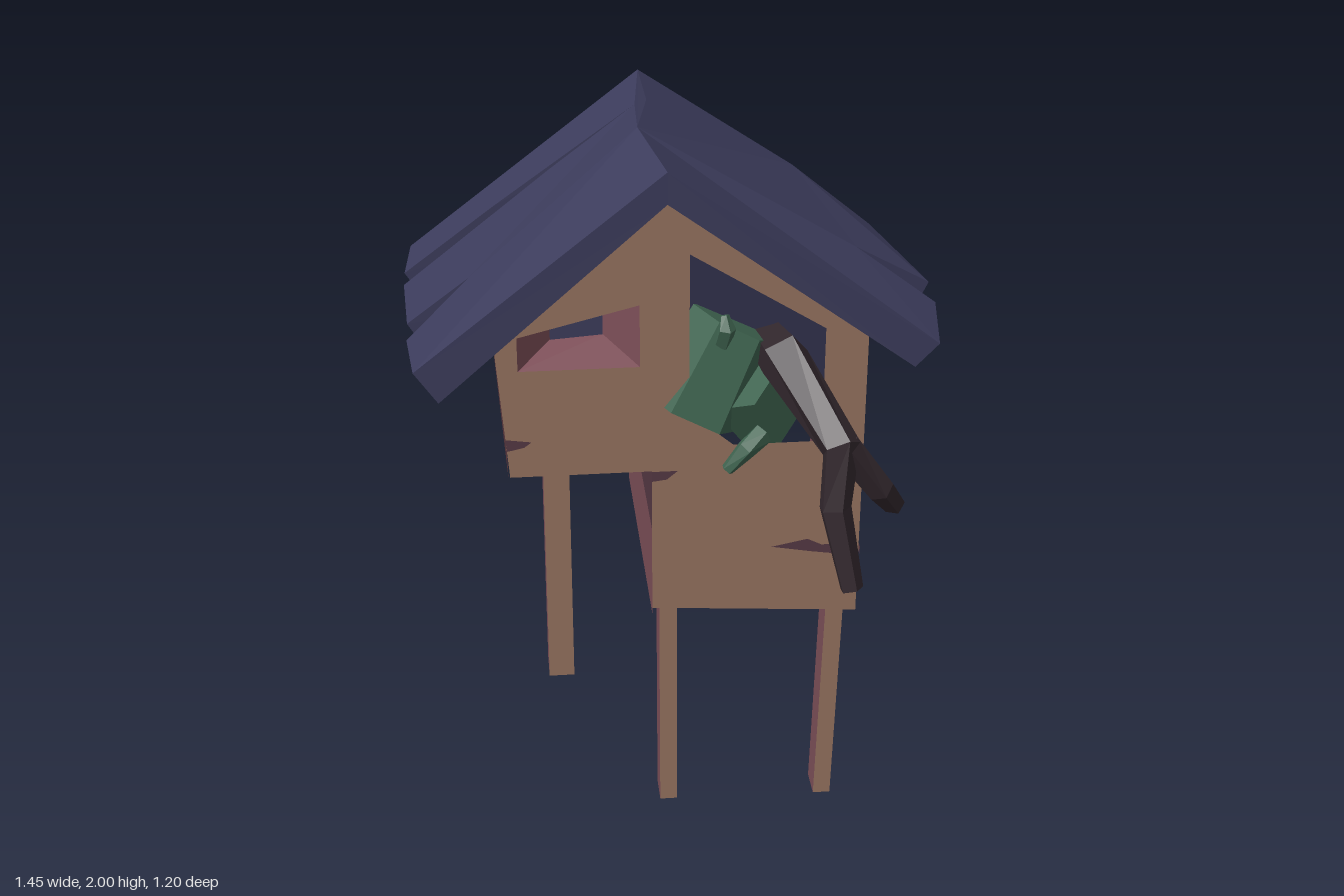
import * as THREE from 'three';

const mat = (name, color, side = THREE.DoubleSide) => {
  const m = new THREE.MeshStandardMaterial({ color, flatShading: true, side });
  m.name = name;
  return m;
};

export function createModel() {
  const model = new THREE.Group();
  const tan = mat('tan wood', 0x96735f);
  const maroon = mat('maroon wood', 0x7d4f58);
  const shade = mat('dark maroon wood', 0x553944);
  const navy = mat('navy roof', 0x3c3c5c, THREE.FrontSide);
  const green = mat('green skin', 0x3f6450);
  const bark = mat('dark bark', 0x33282e);

  const add = (name, geo, material) => {
    const mesh = new THREE.Mesh(geo, material);
    mesh.name = name;
    model.add(mesh);
    return mesh;
  };
  const v2 = pts => pts.map(p => new THREE.Vector2(p[0], p[1]));
  const flat = (...pts) => new THREE.ShapeGeometry(new THREE.Shape(v2(pts)));
  const fromTriangles = pos => {
    const geo = new THREE.BufferGeometry();
    geo.setAttribute('position', new THREE.Float32BufferAttribute(pos, 3));
    geo.computeVertexNormals();
    return geo;
  };
  const quad = (a, b, c, d) => [...a, ...b, ...c, ...a, ...c, ...d];

  // Front wall with window and doorway
  const windowOuter = [[-0.42, 1.44], [-0.1, 1.44], [-0.1, 1.615], [-0.42, 1.535]];
  const windowInner = [[-0.33, 1.48], [-0.19, 1.49], [-0.19, 1.56], [-0.33, 1.54]];
  const door = [[0.03, 1.75], [0.39, 1.53], [0.39, 1.2], [0.15, 1.2], [0.03, 1.3]];
  const wall = new THREE.Shape(v2([
    [-0.45, 1.13], [-0.07, 1.13], [-0.07, 0.7], [0.505, 0.66], [0.505, 1.52], [-0.04, 1.91], [-0.48, 1.51]
  ]));
  wall.holes.push(new THREE.Path(v2(windowOuter)), new THREE.Path(v2(door)));
  add('frontWall', new THREE.ShapeGeometry(wall).translate(0, 0, 0.28), tan);

  // Splayed window recess closed by a dark pane
  const recess = [];
  for (let i = 0; i < 4; i++) {
    const j = (i + 1) % 4;
    recess.push(...quad(
      [...windowOuter[i], 0.28], [...windowOuter[j], 0.28], [...windowInner[j], 0.17], [...windowInner[i], 0.17]
    ));
  }
  add('windowRecess', fromTriangles(recess), maroon);
  const pane = new THREE.ExtrudeGeometry(new THREE.Shape(v2(windowInner)), { depth: 0.008, bevelEnabled: false });
  add('windowPane', pane.translate(0, 0, 0.164), navy);

  // Dark backdrop inside the doorway, leaning towards the front at the top
  const backdrop = flat([-0.18, 1.14], [0.49, 1.14], [0.49, 1.5], [-0.04, 1.86], [-0.18, 1.76]);
  const bp = backdrop.attributes.position;
  for (let i = 0; i < bp.count; i++) bp.setZ(i, (bp.getY(i) - 1.14) * 0.3);
  backdrop.computeVertexNormals();
  add('doorBackdrop', backdrop, navy);

  // Side walls: sheets running back from the front wall
  const sideWall = (name, xTop, yTop, xBottom, yBottom, zBack, material) => {
    add(name, fromTriangles(quad(
      [xBottom, yBottom, 0.28], [xBottom, yBottom, zBack], [xTop, yTop, zBack], [xTop, yTop, 0.28]
    )), material);
  };
  sideWall('leftWall', 0.505, 1.28, 0.505, 0.66, -0.54, maroon);
  sideWall('leftWallTop', 0.505, 1.54, 0.505, 1.28, -0.54, shade);
  sideWall('lowerRightWall', -0.07, 0.95, -0.07, 0.68, -0.53, maroon);
  sideWall('lowerRightWallTop', -0.07, 1.13, -0.07, 0.95, -0.53, shade);
  sideWall('upperRightWall', -0.48, 1.5, -0.455, 1.13, -0.56, maroon);

  // Wood grain streaks
  const streak = (pts, onSide) => {
    const mesh = add('grainStreak', flat(...pts), shade);
    if (onSide) {
      mesh.rotation.y = Math.PI / 2;
      mesh.position.x = 0.509;
    } else mesh.position.z = 0.284;
  };
  streak([[0.26, 0.88], [0.37, 0.86], [0.5, 0.84], [0.5, 0.88], [0.4, 0.88], [0.36, 0.9]]);
  streak([[-0.455, 1.21], [-0.41, 1.22], [-0.39, 1.235], [-0.46, 1.245]]);
  streak([[-0.07, 1.1], [-0.03, 1.105], [0, 1.13], [-0.07, 1.13]]);
  streak([[0.07, 1.09], [0.11, 1.07], [0.19, 1.07], [0.2, 1.08], [0.13, 1.095]], true);
  streak([[-0.28, 0.84], [-0.06, 0.85], [-0.07, 0.87], [-0.2, 0.87], [-0.28, 0.865]], true);

  // Legs, tan in front and maroon on the other sides
  const legFaces = [maroon, maroon, maroon, maroon, tan, maroon];
  const leg = (name, x, z, w, d, y0, y1, lean) => {
    const geo = new THREE.BoxGeometry(w, y1 - y0, d).translate(x, (y0 + y1) / 2, z);
    const p = geo.attributes.position;
    for (let i = 0; i < p.count; i++) if (p.getY(i) > (y0 + y1) / 2) p.setX(i, p.getX(i) + lean);
    add(name, geo, legFaces);
  };
  leg('frontLeftLeg', 0.438, 0.195, 0.05, 0.09, 0, 0.7, 0.015);
  leg('frontMiddleLeg', -0.02, 0.195, 0.05, 0.09, 0.01, 0.71, -0.002);
  leg('rearRightLeg', -0.315, -0.123, 0.075, 0.105, 0.26, 1.14, 0);

  // Roof slabs: plan outlines extruded, then bent down from the ridge to the eave
  const ridgeX = z => -0.08 + 0.05 * Math.min(1, Math.abs(z) / 0.3);
  const ridgeY = z => 2 - 0.02 * Math.min(1, Math.abs(z) / 0.3);
  const ridge = [-0.59, -0.3, 0, 0.305].map(z => [ridgeX(z), z]);
  const roofSlab = (name, outline, eaveX, eaveY, eaveBottom, bulge) => {
    const geo = new THREE.ExtrudeGeometry(new THREE.Shape(v2(outline)), { depth: 1, bevelEnabled: false });
    const p = geo.attributes.position;
    for (let i = 0; i < p.count; i++) {
      const x = p.getX(i), z = p.getY(i), under = p.getZ(i);
      const t = (x - ridgeX(z)) / (eaveX - ridgeX(z));
      const rise = z < 0 ? bulge * Math.sin(Math.PI * t) : 0;
      const y = THREE.MathUtils.lerp(ridgeY(z), eaveY(z), t) + rise;
      const thickness = THREE.MathUtils.lerp(0.085, eaveY(z) - eaveBottom, t);
      p.setXYZ(i, x - under * t * Math.sign(eaveX) * 0.065, y - under * thickness, z);
    }
    geo.computeVertexNormals();
    add(name, geo, navy);
  };
  roofSlab('leftRoof', [
    ...ridge, [0.69, 0.305], [0.72, 0.1], [0.51, 0.03], [0.72, 0.01], [0.67, -0.6], [0.43, -0.595]
  ], 0.72, z => 1.54 - (z > 0 ? 0.25 : -0.17) * z, 1.4, 0.03);
  roofSlab('rightRoof', [
    ...ridge, [-0.69, 0.31], [-0.71, 0.09], [-0.54, 0.03], [-0.71, -0.01], [-0.725, -0.32],
    [-0.3, -0.345], [-0.06, -0.335], [-0.46, -0.395], [-0.725, -0.41], [-0.71, -0.595]
  ], -0.725, z => 1.45 - 0.05 * Math.max(0, z), 1.345, 0);

  // Five-sided limbs lofted along a path
  const limb = (name, points, radii, material) => {
    const path = points.map(p => new THREE.Vector3(...p));
    const n = 5;
    const rings = path.map((c, i) => {
      const dir = path[Math.min(i + 1, path.length - 1)].clone()
        .sub(path[Math.max(i - 1, 0)]).normalize();
      const u = new THREE.Vector3(1, 0, 0).addScaledVector(dir, -dir.x).normalize();
      const w = dir.clone().cross(u);
      return Array.from({ length: n }, (_, k) => {
        const a = (k / n) * Math.PI * 2;
        return c.clone().addScaledVector(u, Math.cos(a) * radii[i])
          .addScaledVector(w, Math.sin(a) * radii[i]).toArray();
      });
    });
    const pos = [];
    const last = rings.length - 1;
    for (let k = 0; k < n; k++) {
      const m = (k + 1) % n;
      for (let i = 0; i < last; i++) {
        pos.push(...quad(rings[i][k], rings[i][m], rings[i + 1][m], rings[i + 1][k]));
      }
      pos.push(...points[0], ...rings[0][m], ...rings[0][k]);
      pos.push(...points[last], ...rings[last][k], ...rings[last][m]);
    }
    add(name, fromTriangles(pos), material);
  };
  limb('branchArm', [
    [0.28, 1.22, -0.06], [0.27, 1.42, 0.1], [0.28, 1.45, 0.27], [0.4, 1.29, 0.5], [0.385, 1.13, 0.53], [0.43, 0.91, 0.575]
  ], [0.048, 0.06, 0.07, 0.054, 0.044, 0.032], bark);
  limb('branchTwig', [[0.41, 1.29, 0.49], [0.515, 1.15, 0.475], [0.575, 1.05, 0.38]], [0.042, 0.037, 0.03], bark);

  // Creature in the doorway
  const head = add('creatureHead', new THREE.CylinderGeometry(0.12, 0.145, 0.27, 6), green);
  head.position.set(0.1, 1.38, 0.165);
  head.rotation.set(0.1, 0.5, -0.55);
  const snout = add('creatureSnout', new THREE.CylinderGeometry(0.105, 0.085, 0.18, 5), green);
  snout.position.set(0.22, 1.275, 0.2);
  snout.rotation.set(0.15, 0.2, 0.5);
  limb('creatureHorn', [[0.12, 1.48, 0.24], [0.13, 1.53, 0.26], [0.125, 1.565, 0.25]], [0.025, 0.025, 0.012], green);
  limb('creatureFinger', [[0.23, 1.23, 0.28], [0.18, 1.2, 0.31], [0.13, 1.14, 0.31]], [0.03, 0.028, 0.018], green);

  return model;
}
